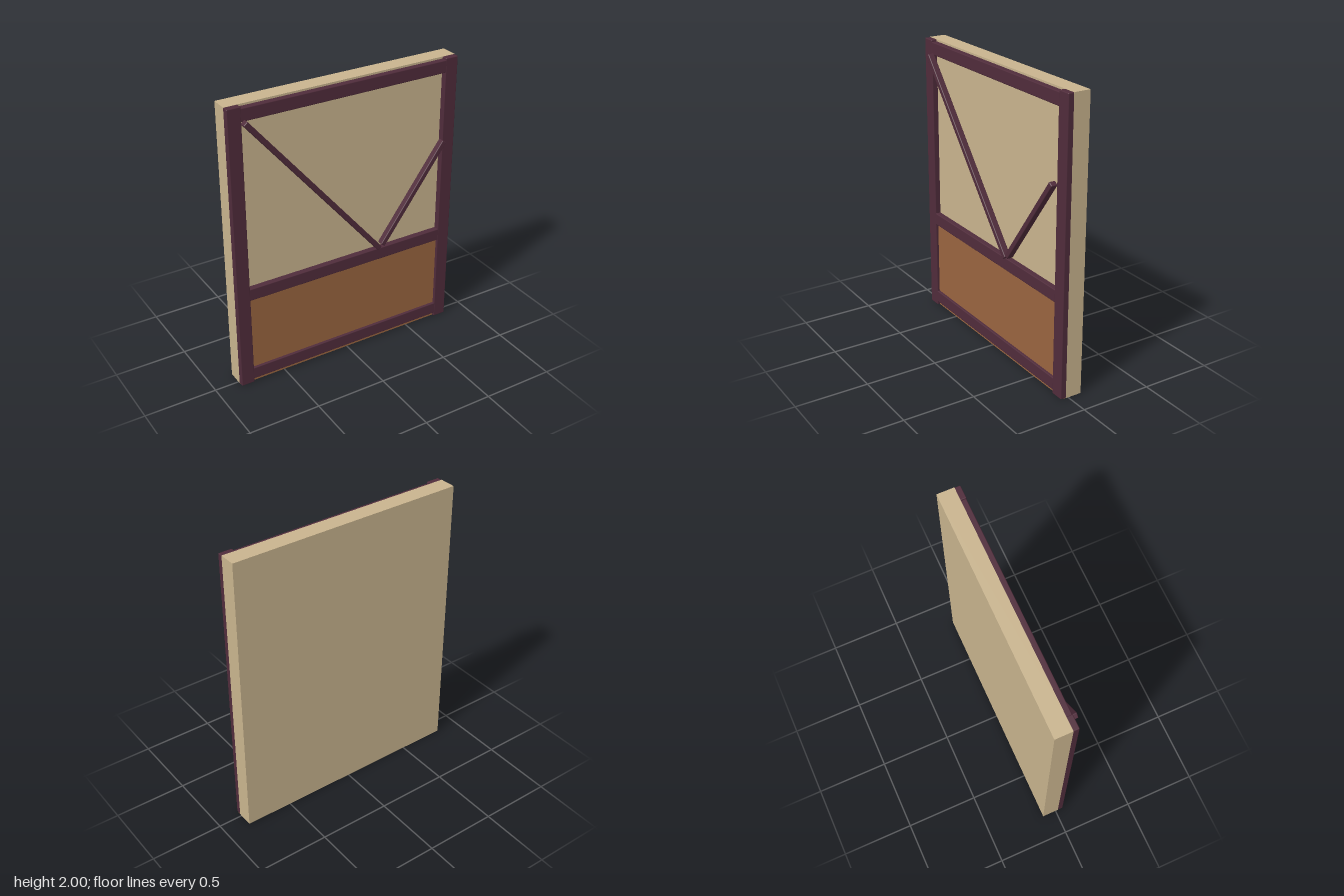
import * as THREE from 'three';
import { RoundedBoxGeometry } from 'three/addons/geometries/RoundedBoxGeometry.js';

function material(name, color) {
  const m = new THREE.MeshStandardMaterial({ color });
  m.name = name;
  return m;
}

export function createModel() {
  const model = new THREE.Group();
  model.name = 'timberFramedWall';

  const plaster = material('plaster', 0xc9b48e);
  const boarding = material('brownPanel', 0x9a6540);
  const timber = material('darkTimber', 0x502c3b);

  function add(name, geometry, mat, x, y, z) {
    const mesh = new THREE.Mesh(geometry, mat);
    mesh.name = name;
    mesh.position.set(x, y, z);
    model.add(mesh);
    return mesh;
  }

  // Beam with softened edges, spanning z0 to z1
  function beam(name, w, h, x, y, z0 = 0.012, z1 = 0.056) {
    const geometry = new RoundedBoxGeometry(w, h, z1 - z0, 2, 0.006);
    return add(name, geometry, timber, x, y, (z0 + z1) / 2);
  }

  // Diagonal beam between two points on the wall face
  function brace(name, x0, y0, x1, y1) {
    const length = Math.hypot(x1 - x0, y1 - y0);
    const mesh = beam(name, length, 0.036, (x0 + x1) / 2, (y0 + y1) / 2, 0.052, 0.098);
    mesh.rotation.z = Math.atan2(y1 - y0, x1 - x0);
  }

  // Plaster slab and the lower infill panel
  add('wallSlab', new THREE.BoxGeometry(1.66, 2, 0.116), plaster, 0, 1, -0.04);
  add('lowerPanel', new THREE.BoxGeometry(1.658, 0.708, 0.024), boarding, 0, 0.355, 0.026);

  // Upright posts
  for (const [name, side] of [['leftPost', 1], ['rightPost', -1]]) {
    beam(name, 0.094, 1.998, side * 0.783, 1, 0.012, 0.057);
  }

  // Horizontal rails
  for (const [name, y] of [['bottomRail', 0.07], ['middleRail', 0.691], ['topRail', 1.943]]) {
    beam(name, 1.5, 0.087, 0, y);
  }

  // Diagonal braces
  brace('longBrace', -0.73, 1.902, 0.227, 0.76);
  brace('shortBrace', 0.25, 0.778, 0.727, 1.43);

  return model;
}
